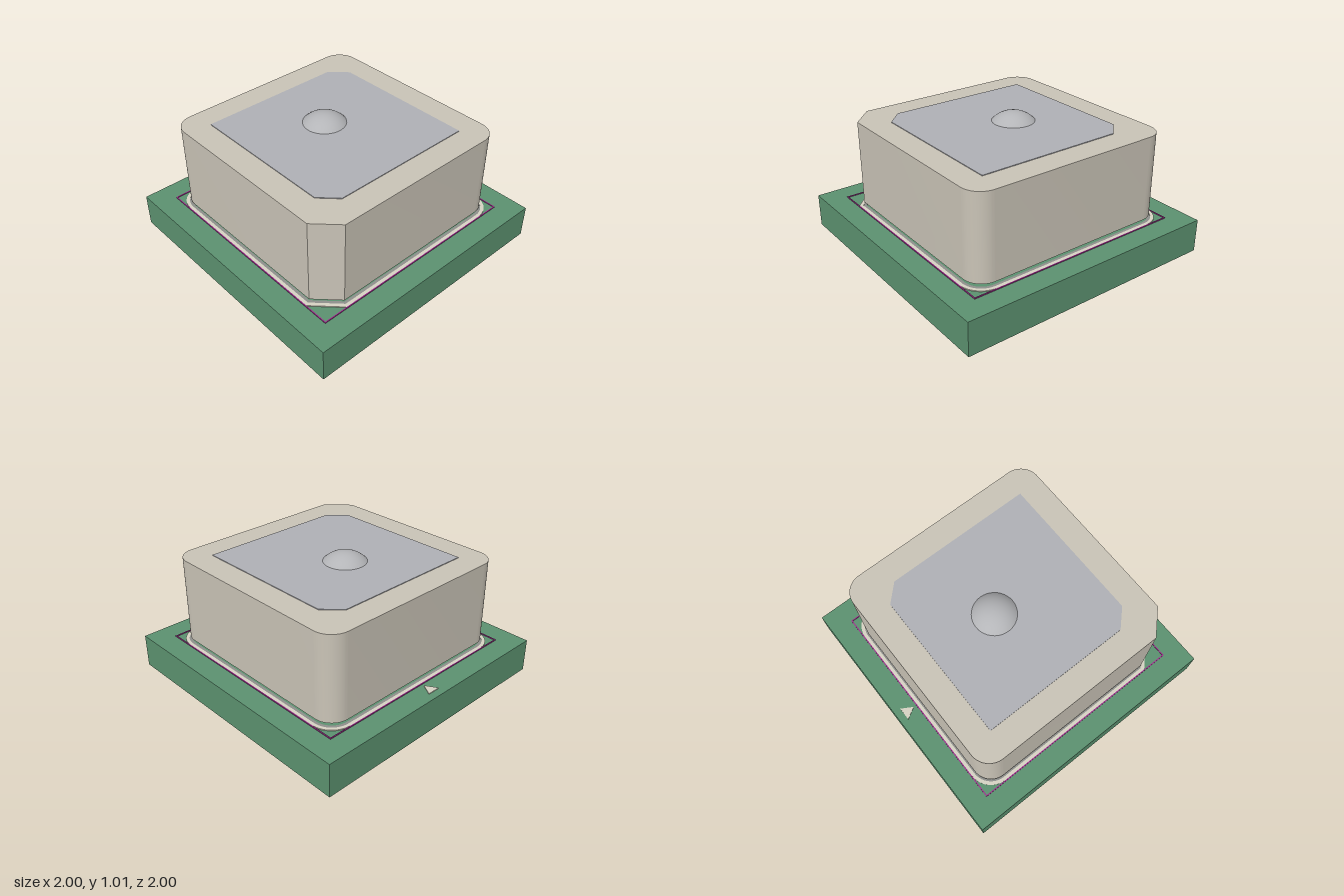
import * as THREE from 'three';
import { toCreasedNormals } from 'three/addons/utils/BufferGeometryUtils.js';

const mat = (name, color, side = THREE.FrontSide) => {
  const m = new THREE.MeshStandardMaterial({ color, side });
  m.name = name;
  return m;
};

// Square outline with three rounded corners and one chamfer at front right (-x, +z)
function outline(half, r, chamfer, Kind = THREE.Shape) {
  const s = new Kind();
  s.moveTo(-half + chamfer, -half);
  s.lineTo(half - r, -half);
  s.absarc(half - r, -half + r, r, -Math.PI / 2, 0);
  s.absarc(half - r, half - r, r, 0, Math.PI / 2);
  s.absarc(-half + r, half - r, r, Math.PI / 2, Math.PI);
  s.lineTo(-half, -half + chamfer);
  s.closePath();
  return s;
}

function polygon(points, Kind = THREE.Shape) {
  return new Kind(points.map(([x, y]) => new THREE.Vector2(x, y)));
}

const square = (h, Kind) => polygon([[-h, -h], [h, -h], [h, h], [-h, h]], Kind);

// Raise a plan-view shape (shape y points to the back) from y0 to y1
function slab(shape, y0, y1) {
  const g = new THREE.ExtrudeGeometry(shape, { depth: y1 - y0, bevelEnabled: false, curveSegments: 12 });
  g.rotateX(-Math.PI / 2).translate(0, y0, 0);
  return toCreasedNormals(g, 0.5);
}

export function createModel() {
  const group = new THREE.Group();
  const green = mat('board green', 0x5c9270);
  const ceramic = mat('ceramic beige', 0xcac4b7);
  const silver = mat('patch silver', 0xb0b1b6);
  const metal = mat('pin metal', 0xb4b5b8);
  const print = mat('print cream', 0xd8d3c4);
  const magenta = mat('boundary magenta', 0xa0308f);
  const grey = mat('outline grey', 0x8f908c);
  const padMat = mat('pad tan', 0xb0a999);

  const add = (name, geometry, material) => {
    const m = new THREE.Mesh(geometry, material);
    m.name = name;
    group.add(m);
    return m;
  };
  const pinZ = -0.1;

  // Circuit board
  add('board', new THREE.BoxGeometry(2, 0.25, 2).translate(0, 0.155, 0), green);

  // Printed outlines on the board
  const boundary = square(0.838);
  boundary.holes.push(square(0.83, THREE.Path));
  add('boundaryLine', slab(boundary, 0.28, 0.286), magenta);

  const ring = outline(0.83, 0.17, 0.18);
  ring.holes.push(outline(0.806, 0.15, 0.17, THREE.Path));
  add('printedOutline', slab(ring, 0.28, 0.286), print);

  const inner = outline(0.806, 0.15, 0.17);
  inner.holes.push(outline(0.785, 0.135, 0.16, THREE.Path));
  add('innerOutline', slab(inner, 0.28, 0.284), grey);

  add('directionMark', slab(polygon([[-0.05, 0.945], [0, 0.86], [0.05, 0.945]]), 0.28, 0.286), print);

  // Ceramic block on a slightly smaller foot
  add('blockFoot', slab(outline(0.745, 0.12, 0.14), 0.28, 0.31), ceramic);
  add('block', slab(outline(0.796, 0.145, 0.16), 0.31, 0.943), ceramic);

  // Metal patch with two cut corners
  const p = 0.607, c = 0.12;
  const patch = polygon([[-p + c, -p], [p, -p], [p, p - c], [p - c, p], [-p, p], [-p, -p + c]]);
  add('patch', slab(patch, 0.943, 0.948), silver);

  // Domed pin head
  const a = 0.158, h = 0.07, R = (a * a + h * h) / (2 * h), spread = Math.asin(a / R);
  const cap = [];
  for (let i = 0; i <= 10; i++) {
    const t = spread * (1 - i / 10);
    cap.push(new THREE.Vector2(R * Math.sin(t), R * Math.cos(t) - R + h));
  }
  add('pinHead', new THREE.LatheGeometry(cap, 40), metal).position.set(0, 0.945, pinZ);

  // Solder ring and pin end beneath the board
  const pad = new THREE.Shape().absarc(0, -pinZ, 0.137, 0, Math.PI * 2);
  pad.holes.push(new THREE.Path().absarc(0, -pinZ, 0.08, 0, Math.PI * 2));
  add('solderPad', slab(pad, 0.024, 0.03), padMat);
  add('pinEnd', new THREE.CylinderGeometry(0.063, 0.063, 0.06, 32).translate(0, 0.03, pinZ), metal);

  return group;
}
